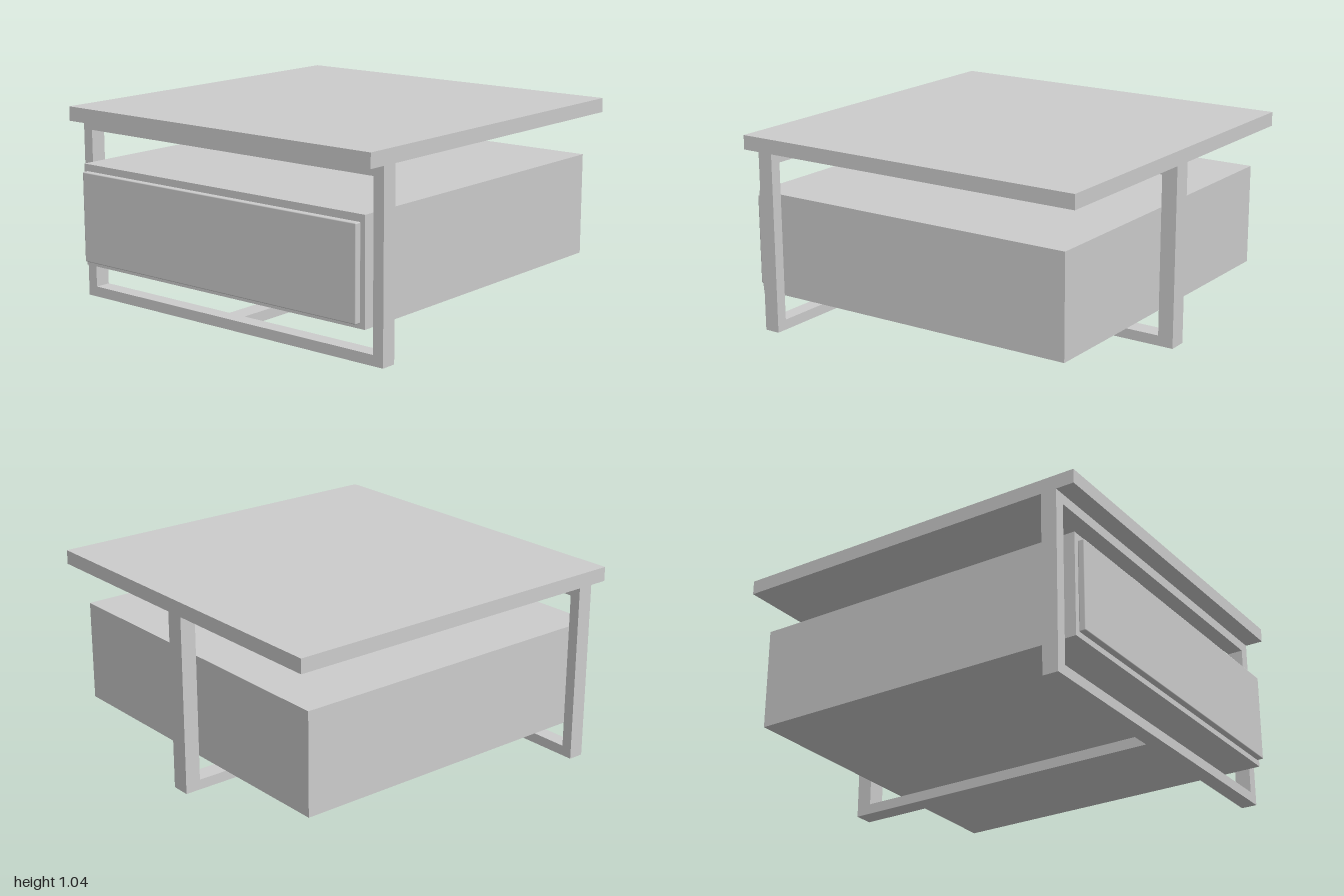
import * as THREE from 'three';
import { RoundedBoxGeometry } from 'three/addons/geometries/RoundedBoxGeometry.js';

const material = new THREE.MeshStandardMaterial({ color: 0xcccccc });

function addMesh(group, name, geometry, x, y, z) {
  const mesh = new THREE.Mesh(geometry, material);
  mesh.name = name;
  mesh.position.set(x, y, z);
  group.add(mesh);
}

// Box given by its lower and upper limits on each axis
function addBox(group, name, [x0, x1], [y0, y1], [z0, z1]) {
  addMesh(group, name, new THREE.BoxGeometry(x1 - x0, y1 - y0, z1 - z0),
    (x0 + x1) / 2, (y0 + y1) / 2, (z0 + z1) / 2);
}

// Rectangular loop of square bar, extruded along z from 0
function loopGeometry(halfWidth, height, side, rail, depth) {
  const rect = (target, x, y0, y1) => target
    .moveTo(-x, y0).lineTo(x, y0).lineTo(x, y1).lineTo(-x, y1).closePath();
  const shape = rect(new THREE.Shape(), halfWidth, 0, height);
  shape.holes.push(rect(new THREE.Path(), halfWidth - side, rail, height - rail));
  return new THREE.ExtrudeGeometry(shape, { depth, bevelEnabled: false });
}

export function createModel() {
  const table = new THREE.Group();
  table.name = 'sideTable';

  addBox(table, 'tableTop', [-1, 1], [0.96, 1.036], [-1, 1]);

  // Front loop with a T-shaped run back to a single rear leg
  const frame = new THREE.Group();
  frame.name = 'frame';
  addMesh(frame, 'frontFrame', loopGeometry(1, 0.96, 0.06, 0.055, 0.085), 0, 0, 0.817);
  addBox(frame, 'bottomRail', [-0.052, 0.052], [0, 0.055], [-0.915, 0.817]);
  addBox(frame, 'topRail', [-0.052, 0.052], [0.905, 0.96], [-0.915, 0.817]);
  addBox(frame, 'backLeg', [-0.052, 0.052], [0, 0.96], [-1, -0.915]);
  table.add(frame);

  // Drawer case held between the posts, with a raised front panel
  const drawer = new THREE.Group();
  drawer.name = 'drawer';
  addBox(drawer, 'drawerCase', [-0.94, 0.94], [0.19, 0.735], [-0.913, 0.963]);
  addMesh(drawer, 'drawerFront', new RoundedBoxGeometry(1.83, 0.482, 0.037, 2, 0.006),
    0, 0.458, 0.9815);
  table.add(drawer);

  return table;
}
